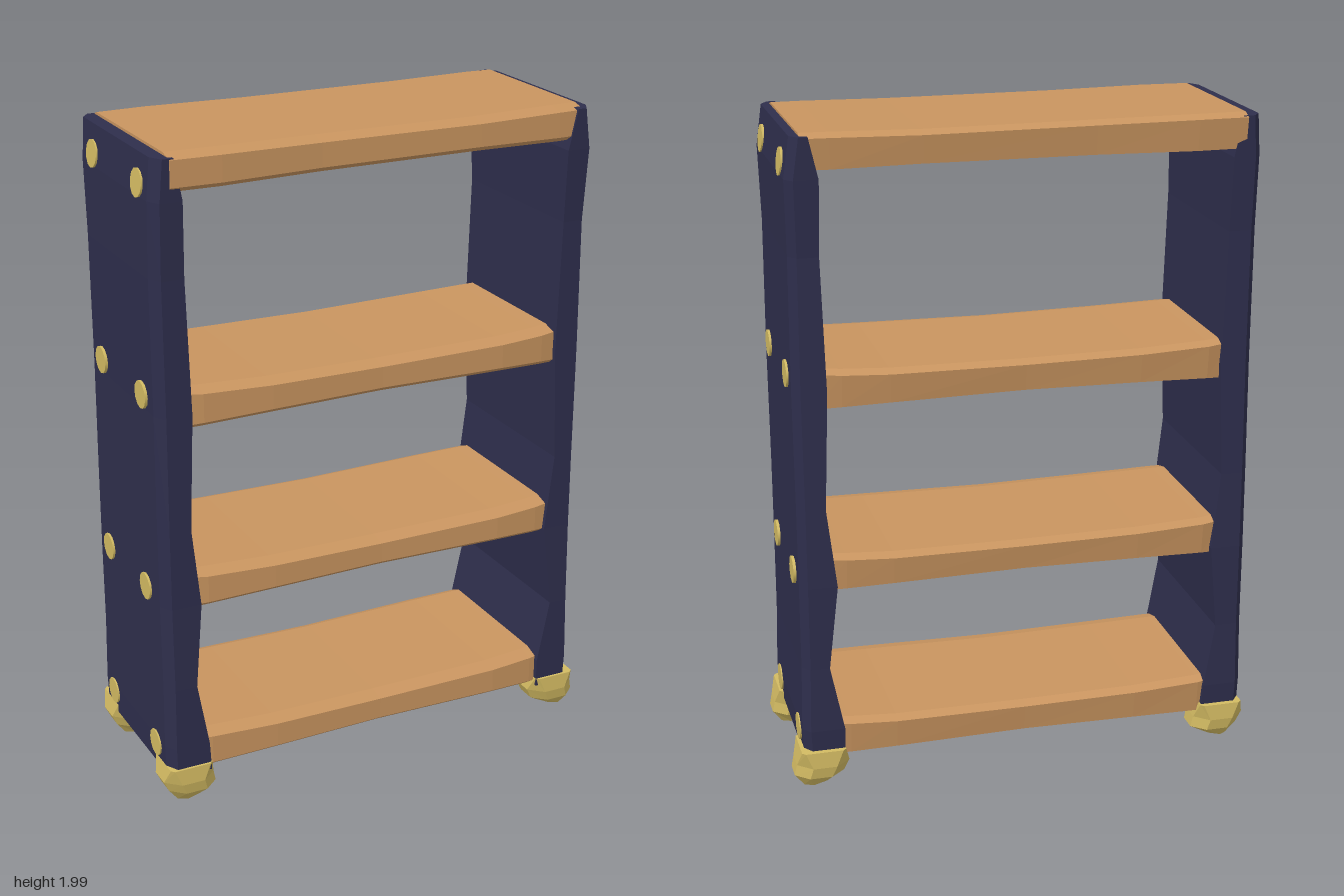
import * as THREE from 'three';

const mat = (name, color) => Object.assign(new THREE.MeshStandardMaterial({ color }), { name });

// Skin closed rings of [x, y, z] points with flat facets and end caps.
function loft(rings) {
  const n = rings[0].length, tris = [];
  for (let r = 0; r < rings.length - 1; r++) {
    const a = rings[r], b = rings[r + 1];
    for (let i = 0; i < n; i++) {
      const j = (i + 1) % n;
      tris.push([a[i], a[j], b[j]], [a[i], b[j], b[i]]);
    }
  }
  const last = rings[rings.length - 1];
  for (let i = 1; i < n - 1; i++) {
    tris.push([rings[0][0], rings[0][i + 1], rings[0][i]], [last[0], last[i], last[i + 1]]);
  }
  // Turn the faces outward if the enclosed volume is negative.
  const v = (p) => new THREE.Vector3(...p);
  const volume = tris.reduce((s, [a, b, c]) => s + v(a).dot(v(b).cross(v(c))), 0);
  if (volume < 0) tris.forEach((t) => t.reverse());
  const geo = new THREE.BufferGeometry();
  geo.setAttribute('position', new THREE.Float32BufferAttribute(tris.flat(2), 3));
  geo.computeVertexNormals();
  return geo;
}

export function createModel() {
  const model = new THREE.Group();
  model.name = 'shelfUnit';
  const navy = mat('navyPaint', 0x2e2e4c);
  const wood = mat('warmWood', 0xc8945f);
  const brass = mat('brass', 0xd2ba62);
  const add = (name, geo, material) => {
    const mesh = new THREE.Mesh(geo, material);
    mesh.name = name;
    model.add(mesh);
    return mesh;
  };

  // Side panels: [height, inner x, outer x, front z, back z], wobbly and chamfered outside
  const panels = {
    left: [
      [0.11, 0.56, 0.68, 0.28, -0.27], [0.2, 0.56, 0.685, 0.28, -0.275], [0.4, 0.6, 0.68, 0.28, -0.27],
      [0.66, 0.57, 0.68, 0.275, -0.272], [0.9, 0.598, 0.68, 0.275, -0.27], [1.25, 0.584, 0.682, 0.275, -0.268],
      [1.65, 0.595, 0.68, 0.275, -0.266], [1.87, 0.592, 0.685, 0.29, -0.28], [1.99, 0.62, 0.668, 0.292, -0.286],
    ],
    right: [
      [0.11, 0.57, 0.7, 0.28, -0.27], [0.2, 0.575, 0.702, 0.28, -0.275], [0.4, 0.61, 0.7, 0.28, -0.27],
      [0.66, 0.587, 0.7, 0.275, -0.272], [0.9, 0.612, 0.7, 0.275, -0.27], [1.25, 0.598, 0.698, 0.275, -0.268],
      [1.65, 0.61, 0.7, 0.275, -0.266], [1.87, 0.612, 0.7, 0.285, -0.28], [1.99, 0.635, 0.69, 0.287, -0.286],
    ],
  };
  for (const [side, rows] of Object.entries(panels)) {
    const s = side === 'left' ? 1 : -1;
    add(side + 'Panel', loft(rows.map(([y, xi, xo, f, b]) => [
      [s * xi, y, f], [s * (xo - 0.022), y, f], [s * xo, y, f - 0.04],
      [s * xo, y, b + 0.03], [s * (xo - 0.022), y, b], [s * xi, y, b],
    ])), navy);
  }

  // Shelves: slightly thicker at the ends; [x, underside, top, depth] offsets along the board
  const board = (name, lo, hi, xs, depths, flare) => add(name, loft(xs.map((x, i) => {
    const d = depths[i], l = lo - flare[i], h = hi + flare[i];
    return [
      [x, l, -d + 0.012], [x, l, d - 0.02], [x, l + 0.015, d],
      [x, h - 0.012, d], [x, h, d - 0.05], [x, h, -d + 0.03], [x, h - 0.012, -d],
    ];
  })), wood);
  const span = [-0.63, -0.56, -0.35, 0, 0.4, 0.54, 0.62];
  [[0.12, 0.212], [0.655, 0.742], [1.215, 1.306]].forEach(([lo, hi], i) => {
    board('shelf' + (i + 1), lo, hi, span, [0.255, 0.268, 0.275, 0.272, 0.276, 0.268, 0.255],
      [0.016, 0.011, 0.004, 0, 0.004, 0.009, 0.014]);
  });
  board('topShelf', 1.9, 1.993, [-0.648, -0.5, -0.2, 0.3, 0.56, 0.642],
    [0.291, 0.296, 0.288, 0.292, 0.288, 0.284], [0.005, 0.005, 0.002, 0, 0.004, 0.004]);

  // Bolt heads: [height, front z, back z], thin discs on both outer faces
  for (const s of [1, -1]) {
    for (const [y, zf, zb] of [[0.18, 0.17, -0.18], [0.685, 0.135, -0.165], [1.29, 0.155, -0.16], [1.905, 0.175, -0.17]]) {
      for (const z of [zf, zb]) {
        const bolt = add('bolt', new THREE.CylinderGeometry(0.041, 0.041, 0.009, 12), brass);
        bolt.rotation.z = Math.PI / 2;
        bolt.position.set(s > 0 ? 0.684 : -0.702, y, z);
        if (y > 1.8) {
          bolt.position.x = s * (s > 0 ? 0.681 : 0.698);
          bolt.rotation.z += s * 0.1;
        }
      }
    }
  }

  // Feet: chunky faceted blocks, widest just above the floor
  const footRows = [[0, 0.045, 0.045], [0.05, 0.075, 0.068], [0.085, 0.08, 0.074], [0.135, 0.067, 0.07]];
  for (const sx of [1, -1]) {
    for (const sz of [1, -1]) {
      const rings = footRows.map(([y, w, d], r) => {
        const cut = r === 3 ? 0.85 : 0.45;
        const outline = [[1, cut], [cut, 1], [-cut, 1], [-1, cut], [-1, -cut], [-cut, -1], [cut, -1], [1, -cut]];
        const tilt = 0.012 * (r < 2 ? 1 : 0);
        return outline.map(([u, v]) => [
          sx * (0.626 + u * w) + (sx < 0 ? -0.008 : 0) + tilt,
          y + (r === 0 ? 0.01 + 0.012 * (1 - u) : 0), sz * (0.218 + v * d),
        ]);
      });
      add((sz > 0 ? 'front' : 'back') + (sx > 0 ? 'Left' : 'Right') + 'Foot', loft(rings), brass);
    }
  }
  return model;
}
